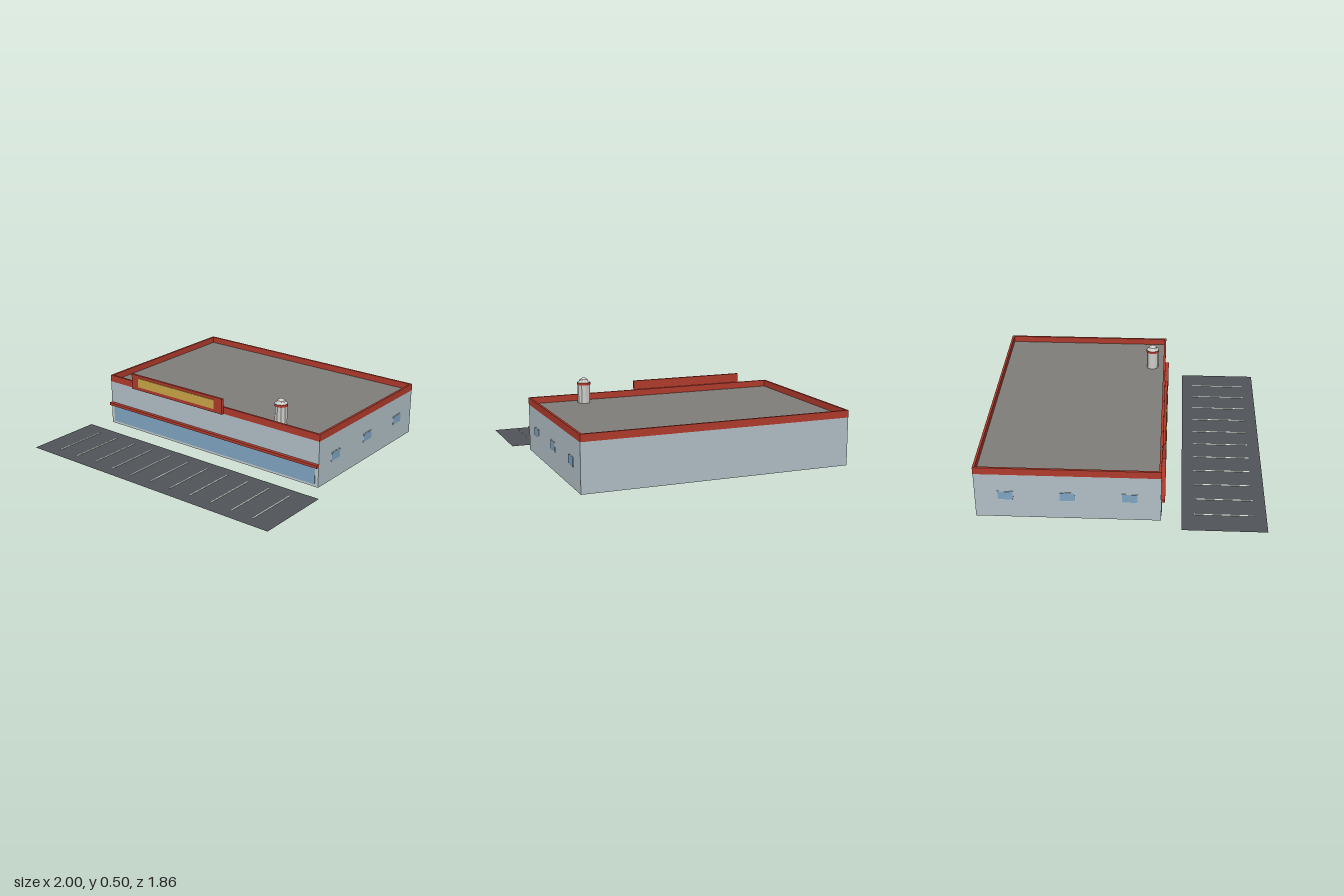
import * as THREE from 'three';

const mat = (name, color, side = THREE.FrontSide, flatShading = false) => {
  const m = new THREE.MeshStandardMaterial({ color, side, flatShading });
  m.name = name;
  return m;
};

export function createModel() {
  const model = new THREE.Group();
  model.name = 'storeWithParking';
  const wall = mat('wallBlueGrey', 0xb0bec5, THREE.DoubleSide);
  const red = mat('trimRed', 0xb03a2b);
  const roofGrey = mat('roofGrey', 0x7e7d78);
  const glass = mat('glassBlue', 0x7fa3c0);
  const pale = mat('framePale', 0xbfc8ca);
  const yellow = mat('signYellow', 0xc9a548);
  const asphalt = mat('asphalt', 0x505458, THREE.DoubleSide);
  const line = mat('linePaint', 0xd6d6cc);
  const metal = mat('towerGrey', 0xcbcbc8, THREE.DoubleSide, true);

  const add = (name, geometry, material, parent = model) => {
    const mesh = new THREE.Mesh(geometry, material);
    mesh.name = name;
    parent.add(mesh);
    return mesh;
  };
  // Box given by its minimum and maximum corners
  const box = (name, material, [x0, y0, z0], [x1, y1, z1], parent) =>
    add(name, new THREE.BoxGeometry(x1 - x0, y1 - y0, z1 - z0)
      .translate((x0 + x1) / 2, (y0 + y1) / 2, (z0 + z1) / 2), material, parent);

  const W = 0.907, BACK = -0.928, FRONT = 0.252, WALL_TOP = 0.32, TOP = 0.368;

  // Hollow building shell, open underneath (bottom face dropped)
  const shell = new THREE.BoxGeometry(2 * W, WALL_TOP, FRONT - BACK)
    .translate(0, WALL_TOP / 2, (FRONT + BACK) / 2);
  const index = Array.from(shell.index.array);
  index.splice(18, 6);
  shell.setIndex(index);
  shell.clearGroups();
  add('walls', shell, wall);

  box('roof', roofGrey, [-W + 0.01, WALL_TOP + 0.001, BACK + 0.01], [W - 0.01, WALL_TOP + 0.004, FRONT - 0.01]);

  // Parapet ring
  const rect = (Path, x, z0, z1) => {
    const p = new Path();
    p.moveTo(-x, -z1).lineTo(x, -z1).lineTo(x, -z0).lineTo(-x, -z0).closePath();
    return p;
  };
  const ring = rect(THREE.Shape, W + 0.001, BACK - 0.001, FRONT + 0.001);
  ring.holes.push(rect(THREE.Path, W - 0.014, BACK + 0.014, FRONT - 0.014));
  add('parapet', new THREE.ExtrudeGeometry(ring, { depth: TOP - WALL_TOP, bevelEnabled: false })
    .rotateX(-Math.PI / 2).translate(0, WALL_TOP, 0), red);

  // Shop front with canopy
  box('shopFrontFrame', pale, [-W, 0.001, FRONT], [W, 0.142, FRONT + 0.002]);
  box('shopFrontGlass', glass, [-0.882, 0.018, FRONT], [0.882, 0.137, FRONT + 0.005]);
  box('canopy', red, [-W, 0.142, FRONT], [W, 0.162, 0.277]);

  // Sign board
  box('signBoard', red, [-0.681, 0.32, FRONT + 0.002], [0.136, 0.43, 0.272]);
  box('signPanel', yellow, [-0.618, 0.345, 0.27], [0.068, 0.41, 0.276]);

  // Side windows, three on each side
  for (const side of [-1, 1]) {
    for (let i = 0; i < 3; i++) {
      const z = 0.055 - 0.394 * i;
      const win = new THREE.Group();
      win.name = 'sideWindow';
      add('windowFrame', new THREE.BoxGeometry(0.002, 0.066, 0.104), pale, win);
      add('windowGlass', new THREE.BoxGeometry(0.005, 0.058, 0.096), glass, win);
      win.position.set(side * (W + 0.001), 0.164, z);
      model.add(win);
    }
  }

  // Round tower on the roof
  const tower = new THREE.Group();
  tower.name = 'roofTower';
  tower.position.set(0.541, 0, 0.158);
  model.add(tower);
  add('towerBody', new THREE.CylinderGeometry(0.043, 0.043, 0.128, 10).translate(0, 0.387, 0), metal, tower);
  add('towerBand', new THREE.CylinderGeometry(0.046, 0.046, 0.017, 10).translate(0, 0.458, 0), red, tower);
  const dome = [[0.045, 0.467], [0.031, 0.477], [0.027, 0.487], [0.014, 0.495], [0, 0.5]];
  add('towerDome', new THREE.LatheGeometry(dome.map(p => new THREE.Vector2(...p)), 10), metal, tower);

  // Parking lot with painted bay lines
  add('parkingLot', new THREE.PlaneGeometry(2, 0.543).rotateX(-Math.PI / 2).translate(0, 0, 0.655), asphalt);
  for (let i = -5; i <= 5; i++) {
    box('bayLine', line, [i / 6 - 0.004, 0.001, 0.462], [i / 6 + 0.004, 0.003, 0.845]);
  }
  return model;
}
